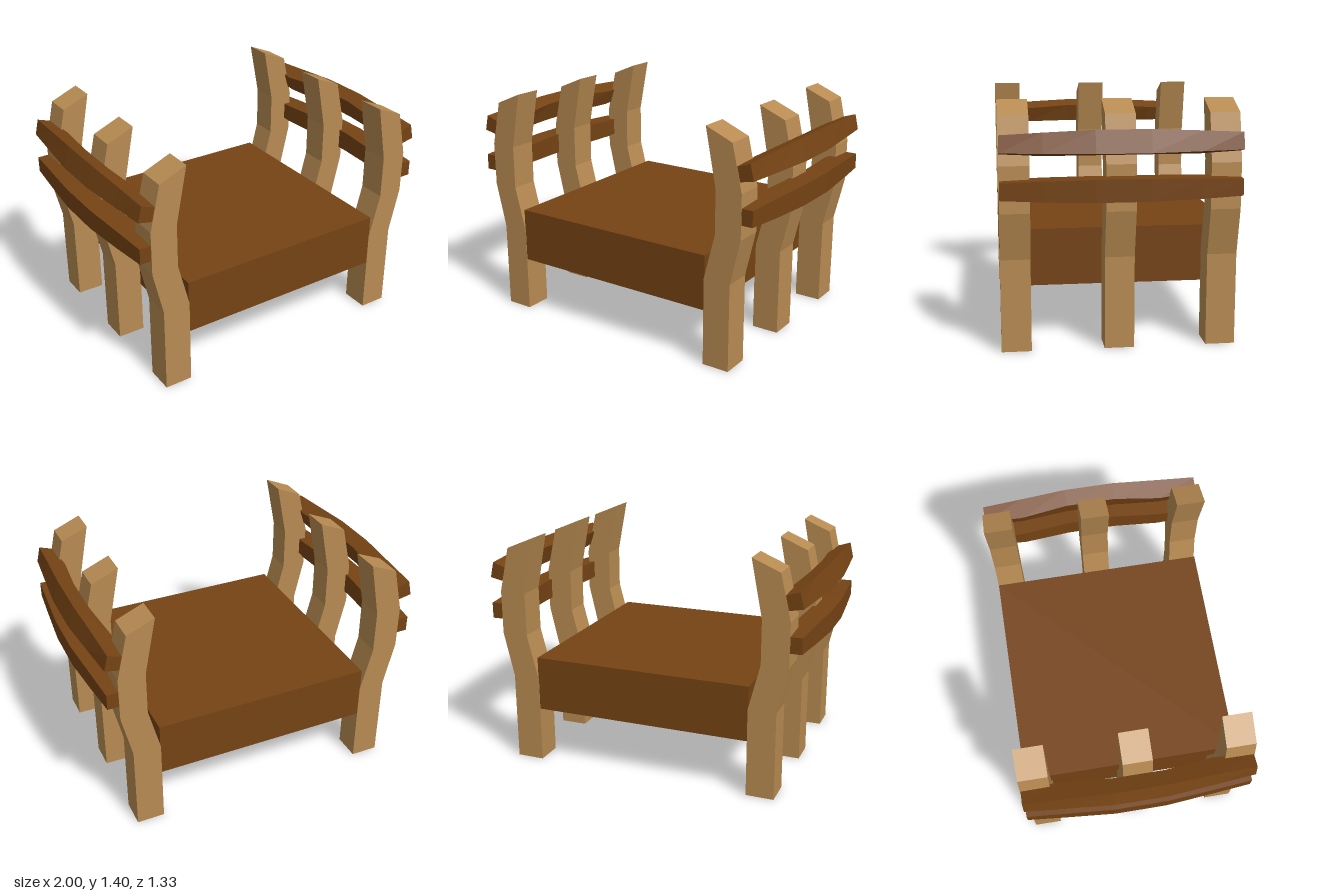
import * as THREE from 'three';

const wood = (color) => new THREE.MeshStandardMaterial({ color, flatShading: true });

// Lofts four-cornered sections [[x, y] x 4, clockwise seen from +z] along ascending z.
function loft(sections) {
  const pos = [];
  const quad = (a, b, c, d) => pos.push(...a, ...b, ...c, ...a, ...c, ...d);
  const rings = sections.map(({ z, corners }) => corners.map(([x, y]) => [x, y, z]));
  for (let i = 0; i < rings.length - 1; i++) {
    const p = rings[i], q = rings[i + 1];
    for (let k = 0; k < 4; k++) {
      const n = (k + 1) % 4;
      quad(p[k], q[k], q[n], p[n]);
    }
  }
  quad(...rings[0]);
  quad(...[...rings[rings.length - 1]].reverse());
  const geo = new THREE.BufferGeometry();
  geo.setAttribute('position', new THREE.Float32BufferAttribute(pos, 3));
  geo.computeVertexNormals();
  return geo;
}

// Half of a rail (end, quarter, middle) is mirrored front to back.
function railGeometry(half) {
  const stations = [0.66, 0.43, 0.15];
  const front = half.map((corners, i) => ({ z: stations[i], corners }));
  const back = front.map(({ z, corners }) => ({ z: -z, corners }));
  return loft([...back, ...front.reverse()]);
}

export function createModel() {
  const model = new THREE.Group();
  model.name = 'slattedSideBench';
  const light = wood(0xb88b52);
  const dark = wood(0x754314);

  const add = (parent, name, geometry, material) => {
    const mesh = new THREE.Mesh(geometry, material);
    mesh.name = name;
    parent.add(mesh);
    return mesh;
  };

  // Thick seat block
  add(model, 'seat', new THREE.BoxGeometry(1.33, 0.33, 1.322), dark).position.y = 0.5;

  // Bent post profile, bowing outward and cut at a slant on top
  const profile = new THREE.Shape([
    [0.662, 0], [0.828, 0], [0.828, 0.53], [0.89, 0.8], [0.89, 1.06],
    [0.828, 1.328], [0.664, 1.397], [0.73, 1.06], [0.73, 0.8], [0.662, 0.53],
  ].map(([x, y]) => new THREE.Vector2(x, y)));
  const postDepth = 0.168;
  const post = new THREE.ExtrudeGeometry(profile, { depth: postDepth, bevelEnabled: false });
  post.translate(0, 0, -postDepth / 2);

  // Rail sections: top outer, bottom outer, bottom inner, top inner
  const upperRail = railGeometry([
    [[0.935, 1.232], [0.957, 1.139], [0.872, 1.122], [0.847, 1.203]],
    [[0.945, 1.244], [0.977, 1.136], [0.87, 1.109], [0.838, 1.205]],
    [[0.96, 1.257], [1.0, 1.133], [0.893, 1.112], [0.868, 1.222]],
  ]);
  const box = (inner, outer, low, high) => [[outer, high], [outer, low], [inner, low], [inner, high]];
  const lowerRail = railGeometry([
    box(0.85, 0.957, 0.886, 0.98),
    box(0.845, 0.977, 0.877, 0.989),
    box(0.87, 1.0, 0.872, 0.996),
  ]);

  // Each side is symmetric front to back, so a half turn gives the other one
  for (const [name, turn] of [['leftSide', 0], ['rightSide', Math.PI]]) {
    const side = new THREE.Group();
    side.name = name;
    side.rotation.y = turn;
    for (const z of [-0.58, 0, 0.58]) add(side, 'post', post, light).position.z = z;
    add(side, 'upperRail', upperRail, dark);
    add(side, 'lowerRail', lowerRail, dark);
    model.add(side);
  }
  return model;
}
